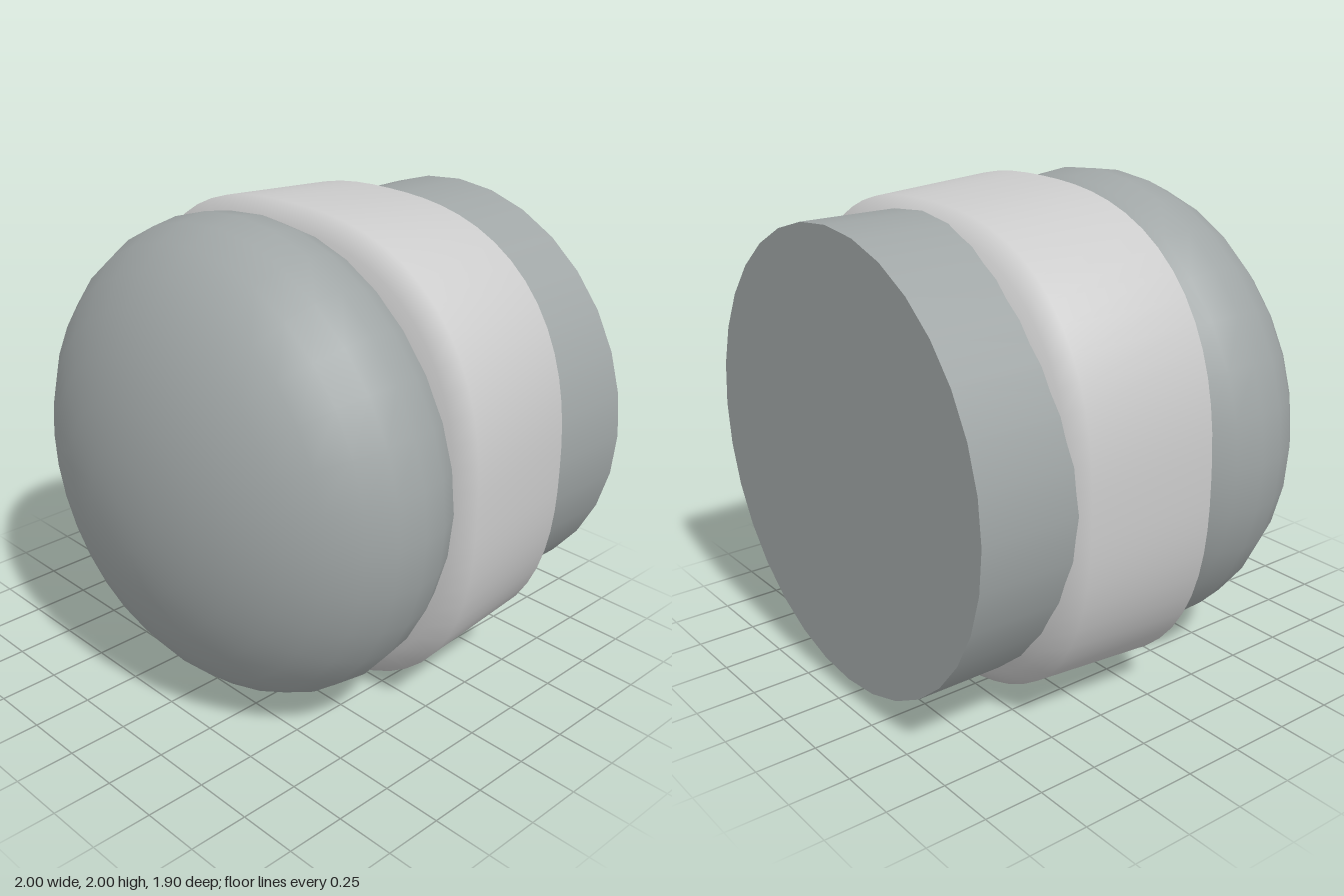
import * as THREE from 'three';
import { mergeVertices } from 'three/addons/utils/BufferGeometryUtils.js';

const SEGMENTS = 32;

export function createModel() {
  const group = new THREE.Group();
  const darkGrey = new THREE.MeshStandardMaterial({ color: 0xa0a6a6 });
  const grey = new THREE.MeshStandardMaterial({ color: 0xcccccc });

  const add = (name, geometry, material, z) => {
    const mesh = new THREE.Mesh(geometry, material);
    mesh.name = name;
    mesh.position.set(0, 1, z);
    group.add(mesh);
  };

  // Flattened dome at the front, poles along z
  const dome = new THREE.SphereGeometry(1, SEGMENTS, 16);
  dome.rotateX(Math.PI / 2).scale(1, 1, 0.62);
  add('frontDome', dome, darkGrey, 0.33);

  // Round plug at the back, its inner end hidden in the collar
  const plug = new THREE.CylinderGeometry(0.93, 0.93, 0.75, SEGMENTS);
  plug.rotateX(Math.PI / 2);
  add('backPlug', plug, darkGrey, -0.575);

  // Tapered collar with bevelled rims: a lathe pushed out to a squircle
  const profile = [
    [0.6, -0.68], [0.8, -0.625], [0.9, -0.555], [0.965, -0.5],
    [1, 0.05], [0.92, 0.1], [0.8, 0.14], [0.6, 0.17],
  ].map(([r, z]) => new THREE.Vector2(r, z));
  let collar = new THREE.LatheGeometry(profile, 2 * SEGMENTS);
  collar.rotateX(Math.PI / 2);
  const pos = collar.attributes.position;
  const power = 2.5;
  for (let i = 0; i < pos.count; i++) {
    const x = pos.getX(i), y = pos.getY(i);
    const r = Math.hypot(x, y);
    const norm = (Math.abs(x / r) ** power + Math.abs(y / r) ** power) ** (1 / power);
    pos.setXY(i, x / norm, y / norm);
  }
  collar.deleteAttribute('uv');
  collar.deleteAttribute('normal');
  collar = mergeVertices(collar, 1e-4);
  collar.computeVertexNormals();
  add('collar', collar, grey, 0);

  return group;
}
